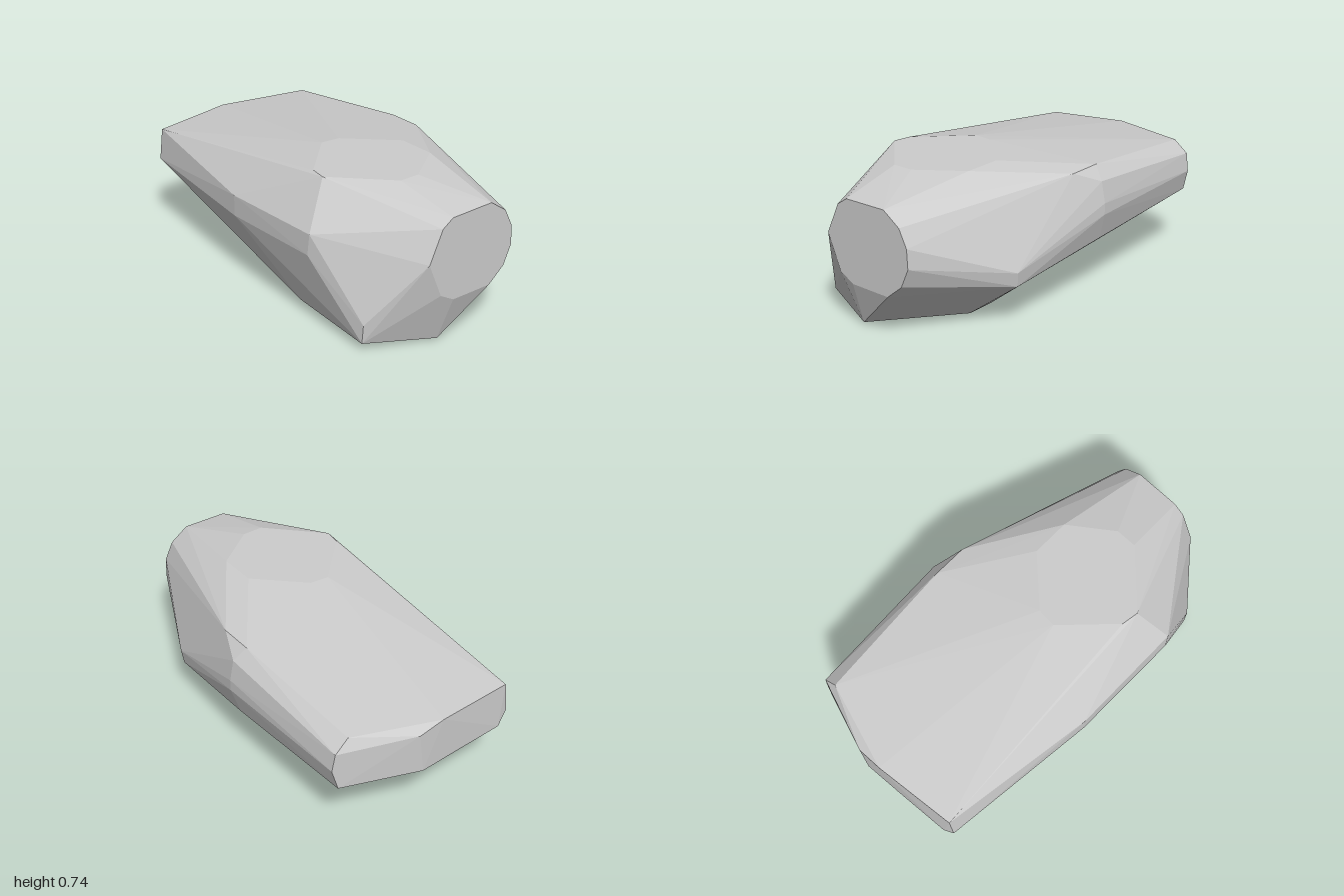
import * as THREE from 'three';
import { ConvexGeometry } from 'three/addons/geometries/ConvexGeometry.js';

// Places a flat outline of [a, b] pairs in space
const ring = (pairs, place) => pairs.map(([a, b]) => new THREE.Vector3(...place(a, b)));

export function createModel() {
  const group = new THREE.Group();
  const stone = new THREE.MeshStandardMaterial({ color: 0xcccccc });
  stone.name = 'stone grey';

  // Flat top facet, [x, z]
  const top = ring([
    [0.31, 0.39], [0.4, 0.405], [0.66, 0.15], [0.66, 0.04],
    [0.5, -0.18], [0.3, -0.18], [0.08, 0.05], [0.07, 0.15],
  ], (x, z) => [x, 0.74, z]);

  // Flat underside, [x, z]
  const underside = ring([
    [0.5, -0.18], [0.34, -0.18], [0.13, -0.04], [0.08, 0.1], [0.3, 0.38], [0.4, 0.38],
  ], (x, z) => [x, 0, z]);

  // Broad cut end, [z, y]
  const cutEnd = ring([
    [0.19, 0.63], [0.13, 0.67], [-0.11, 0.675], [-0.205, 0.61], [-0.25, 0.52], [-0.255, 0.42],
    [-0.21, 0.32], [-0.12, 0.245], [0.11, 0.245], [0.19, 0.29], [0.265, 0.47],
  ], (z, y) => [1, y, z]);

  // Tapered end, front flank, lower edge and back flank, [x, y, z]
  const flanks = [
    [-1, 0.555, -0.13], [-1, 0.33, -0.1], [-0.99, 0.34, 0.11], [-1, 0.585, 0.01],
    [-0.955, 0.56, 0.44], [-0.955, 0.395, 0.46], [-0.97, 0.33, 0.4],
    [-0.86, 0.607, -0.44], [-0.865, 0.545, -0.515], [-0.86, 0.45, -0.53], [-0.87, 0.34, -0.5],
    [-0.12, 0.5, 0.553], [-0.12, 0.39, 0.553], [0.49, 0.52, 0.555], [0.48, 0.41, 0.56],
    [0.29, 0.06, 0.46], [0.78, 0.04, 0.475], [0.79, 0.14, 0.475], [0.92, 0.01, 0.13],
    [0.07, 0.677, -0.475], [-0.11, 0.678, -0.475], [-0.08, 0.61, -0.535],
    [-0.08, 0.5, -0.557], [-0.08, 0.44, -0.557], [-0.1, 0.3, -0.515],
    [0.49, 0.225, -0.475], [0.5, 0.3, -0.485],
  ].map((p) => new THREE.Vector3(...p));

  // Faceted boulder wrapped around all outlines
  const rock = new THREE.Mesh(
    new ConvexGeometry([...top, ...underside, ...cutEnd, ...flanks]), stone);
  rock.name = 'rock';
  group.add(rock);
  return group;
}
